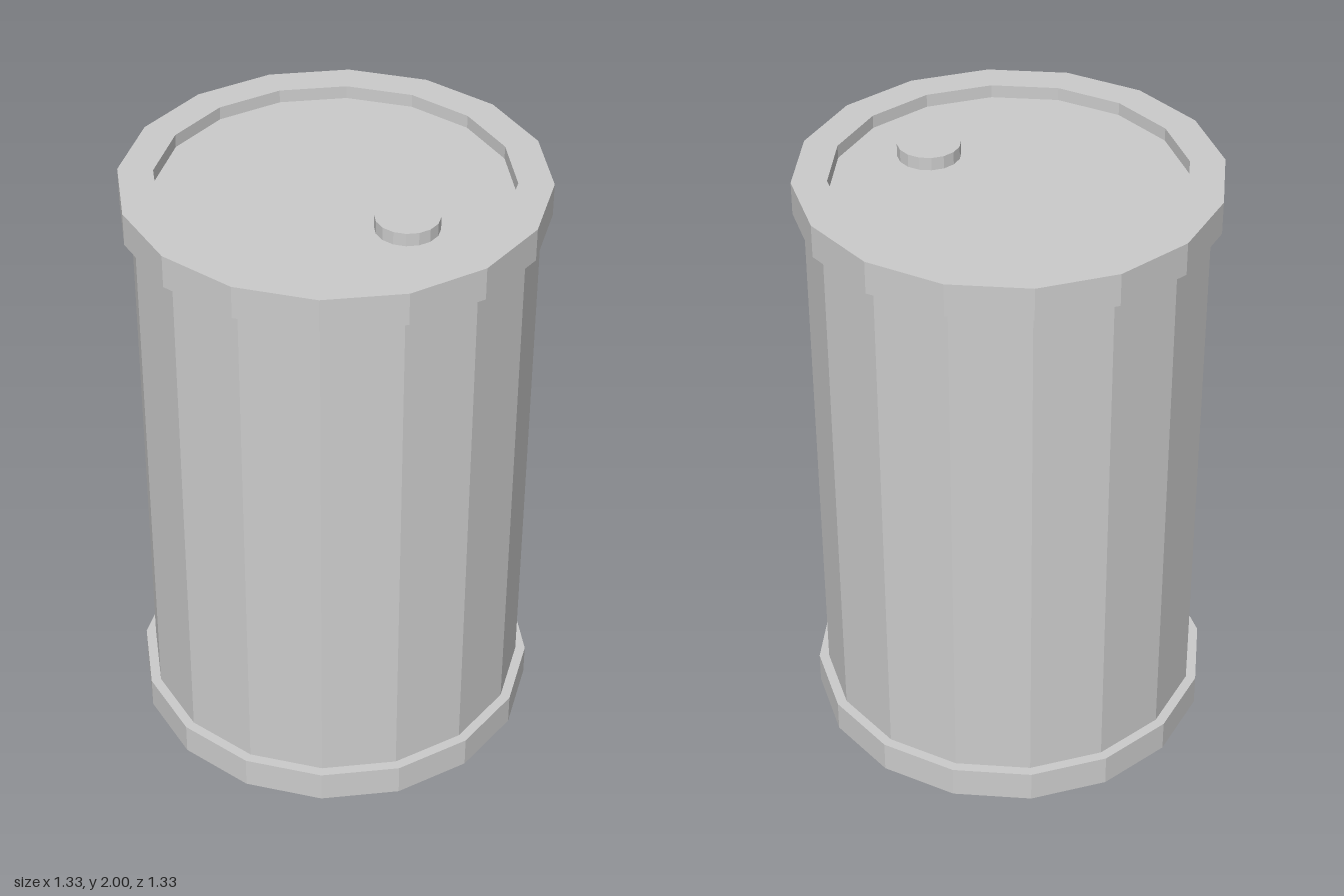
import * as THREE from 'three';

const SIDES = 16;
const HEIGHT = 2;
const RIM_HEIGHT = 0.108;
const RECESS = 0.043;

export function createModel() {
  const model = new THREE.Group();
  model.name = 'barrel';
  const material = new THREE.MeshStandardMaterial({ color: 0xcccccc, flatShading: true });

  const add = (name, geometry, x, y, z) => {
    const mesh = new THREE.Mesh(geometry, material);
    mesh.name = name;
    mesh.position.set(x, y, z);
    model.add(mesh);
  };

  // Drum wall; its end faces are the sunken lid and base inside the rims
  add('body', new THREE.CylinderGeometry(0.632, 0.632, HEIGHT - 2 * RECESS, SIDES), 0, HEIGHT / 2, 0);

  // Rectangular-section rings around both ends
  const rimProfile = [
    [0.555, 0], [0.665, 0], [0.665, RIM_HEIGHT], [0.555, RIM_HEIGHT], [0.555, 0],
  ].map(([r, y]) => new THREE.Vector2(r, y));
  const rim = new THREE.LatheGeometry(rimProfile, SIDES);
  add('bottomRim', rim, 0, 0, 0);
  add('topRim', rim, 0, HEIGHT - RIM_HEIGHT, 0);

  // Filler cap standing on the lid, level with the rim
  add('fillerCap', new THREE.CylinderGeometry(0.1, 0.1, RECESS, SIDES), 0.23, HEIGHT - RECESS / 2, 0.205);

  return model;
}
